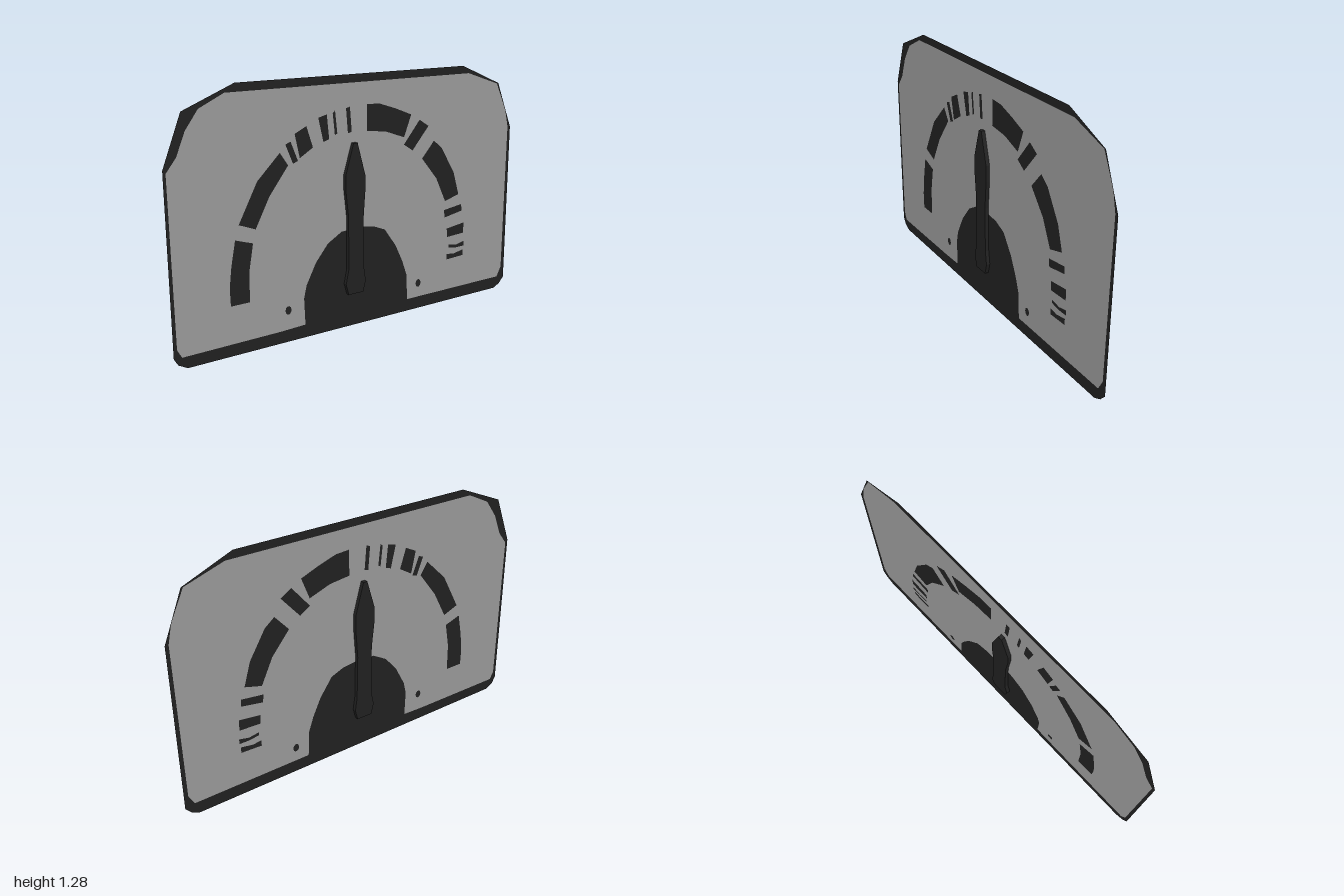
import * as THREE from 'three';

const charcoal = new THREE.MeshStandardMaterial({ name: 'charcoal', color: 0x212121, side: THREE.DoubleSide });
const grey = new THREE.MeshStandardMaterial({ name: 'dialGrey', color: 0x9b9b9b, side: THREE.DoubleSide });

// Outlines are flat x, y lists in hundredths of a unit
const points = (list) => {
  const out = [];
  for (let i = 0; i < list.length; i += 2) out.push(new THREE.Vector2(list[i] / 100, list[i + 1] / 100));
  return out;
};

const backing = [-93.5, 0, 93, 0, 97, 2, 100, 5.5, 100, 93, 90, 117.5, 65, 128,
  -65, 128, -90.5, 117.5, -100, 93, -100, 6, -98, 2.5];

// Dial face, notched around the hub dome at the bottom
const dial = [-31.5, 6.7, -45, 6.2, -96, 5.8, -98.2, 10, -98.6, 91.5, -93.5, 98, -89, 109, -82.5, 118,
  -70, 124, 69, 124, 89, 117.3, 96, 102.5, 98.2, 93, 97.8, 12, 95, 6.5, 31, 6.5,
  30.3, 20.5, 27.5, 28.5, 23, 38, 16, 47.8, 9, 50.6, 2, 51.5, -10, 51, -18, 46.3,
  -25, 37.7, -30.5, 27, -32, 20.5];

// Scale marks, running from the left end of the arc to its top
const leftMarks = [
  [-71, 25, -71.2, 34, -70, 44, -67.6, 56.5, -58.6, 53.5, -61, 40, -61.2, 25],
  [-65.5, 63.4, -57, 60, -49.5, 74.5, -39.3, 88, -43.5, 94.4, -55.5, 82.5],
  [-40.5, 98, -37.7, 99, -34, 89.5, -36.7, 88.5],
  [-35.5, 102.4, -29.2, 105.5, -25.8, 95, -33, 90.7],
  [-22.7, 108.8, -18, 110, -16.8, 98, -20, 97],
  [-14.7, 110.3, -13.4, 111.5, -12.2, 100.3, -13.6, 99.7],
  [-7.2, 112, -5, 112.6, -4, 100.3, -6.2, 99.8],
];

// Scale marks, running from the top of the arc to its right end
const rightMarks = [
  [5, 113.1, 12.5, 112.6, 22, 109.5, 31.8, 105.6, 27.5, 94.4, 16, 98.5, 5, 99.8],
  [37.2, 102.4, 43, 98.7, 33, 87, 27.5, 90.6],
  [46.8, 90.6, 52, 86.4, 60.7, 72, 64.4, 59.6, 55.3, 57, 49, 70.3, 39.3, 82],
  [54.8, 52.1, 66.6, 53.7, 67.1, 50, 55.3, 47.9],
  [57, 41.4, 68.7, 43, 68.7, 37.2, 57.5, 36.6],
  [58.5, 32.1, 64, 31.2, 69.3, 32.4, 69.3, 29.7, 64, 29.6, 58.5, 30.4],
  [57.5, 27, 62, 26.3, 68.7, 27.5, 68.7, 24.3, 57.5, 23.8],
];

const needle = [-4.2, 95, -1.9, 95, 2.6, 78.5, 2.6, 70, 1.5, 55, 1.9, 31, 3, 23.5, 1.5, 17.7,
  -7.2, 17.7, -8.8, 23.5, -7.2, 31, -7.2, 58, -8.8, 72.5, -8.8, 79.5];

export function createModel() {
  const model = new THREE.Group();
  model.name = 'dialGauge';
  const add = (name, geometry, material) => {
    const mesh = new THREE.Mesh(geometry, material);
    mesh.name = name;
    model.add(mesh);
  };

  // Cut-outs: arc marks and two small screw dots
  const cutouts = [...leftMarks, ...rightMarks].map((list) => ({ name: 'scaleMark', outline: points(list) }));
  for (const [x, y] of [[-0.408, 0.163], [0.382, 0.142]]) {
    const oval = new THREE.EllipseCurve(x, y, 0.017, 0.022);
    cutouts.push({ name: 'screwDot', outline: oval.getPoints(10).slice(0, 10) });
  }

  // Grey face with openings, each filled by a coplanar dark inlay
  const face = new THREE.Shape(points(dial));
  for (const { name, outline } of cutouts) {
    face.holes.push(new THREE.Path(outline));
    add(name, new THREE.ShapeGeometry(new THREE.Shape(outline)), charcoal);
  }
  add('dialFace', new THREE.ShapeGeometry(face), grey);

  // Dark border and hub dome surrounding the face
  const frame = new THREE.Shape(points(backing));
  frame.holes.push(new THREE.Path(points(dial)));
  add('frameAndHub', new THREE.ShapeGeometry(frame), charcoal);

  // Solid pointer passing through the plate, so it shows on both sides
  const pointer = new THREE.ExtrudeGeometry(new THREE.Shape(points(needle)), { depth: 0.04, bevelEnabled: false });
  pointer.translate(0, 0, -0.02);
  add('needle', pointer, charcoal);

  return model;
}
